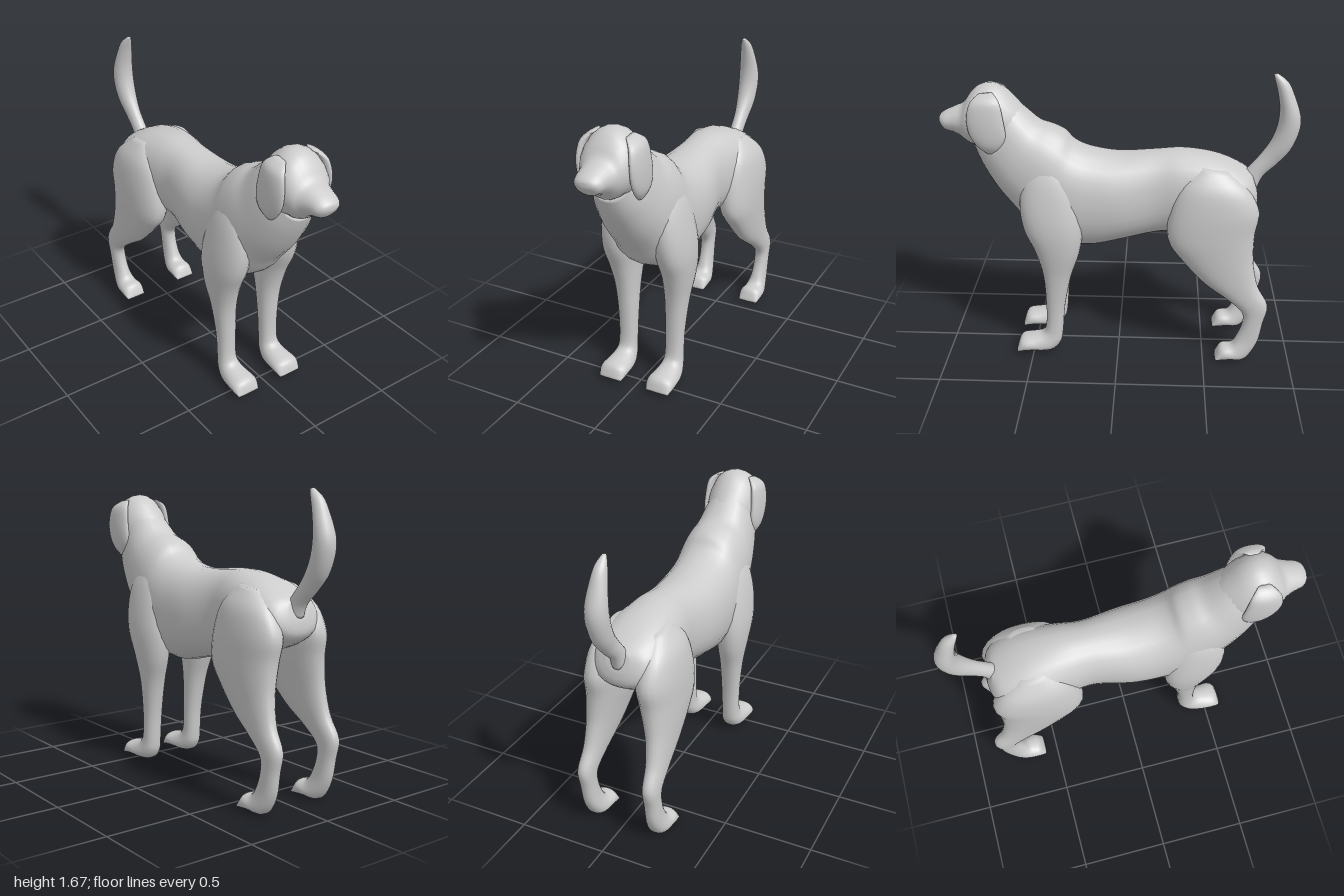
import * as THREE from 'three';

// Skin a smooth tube through sections [zA, yA, zB, yB, halfWidth, xCentre].
// A and B are opposite edge points of the section as seen from the side.
function loft(sections, side = 1, power = 0.9, sides = 24, steps = 4) {
  const rows = [];
  const at = i => sections[Math.max(0, Math.min(sections.length - 1, i))];
  for (let i = 0; i < sections.length - 1; i++) {
    const last = i === sections.length - 2;
    for (let s = 0; s < steps + (last ? 1 : 0); s++) {
      const t = s / steps;
      rows.push([0, 1, 2, 3, 4, 5].map(k => {
        const [a, b, c, d] = [-1, 0, 1, 2].map(o => at(i + o)[k] ?? 0);
        return b + 0.5 * t * (c - a + t * (2 * a - 5 * b + 4 * c - d + t * (3 * (b - c) + d - a)));
      }));
    }
  }
  const pos = [], index = [];
  const soft = v => Math.sign(v) * Math.abs(v) ** power;
  for (const [za, ya, zb, yb, w, x] of rows) {
    for (let j = 0; j < sides; j++) {
      const a = j / sides * Math.PI * 2;
      const c = soft(Math.cos(a)), s = soft(Math.sin(a));
      pos.push(side * (x + w * c), (ya + yb) / 2 + (ya - yb) / 2 * s, (za + zb) / 2 + (za - zb) / 2 * s);
    }
  }
  for (let i = 0; i < rows.length - 1; i++) {
    for (let j = 0; j < sides; j++) {
      const a = i * sides + j, b = i * sides + (j + 1) % sides;
      index.push(a, b, a + sides, b, b + sides, a + sides);
    }
  }
  // close both ends
  [0, rows.length - 1].forEach((r, end) => {
    const [za, ya, zb, yb, , x] = rows[r], centre = pos.length / 3;
    pos.push(side * x, (ya + yb) / 2, (za + zb) / 2);
    for (let j = 0; j < sides; j++) {
      const a = r * sides + j, b = r * sides + (j + 1) % sides;
      if (end) index.push(a, b, centre); else index.push(b, a, centre);
    }
  });
  // turn faces outward, judged by the signed volume
  const p = i => new THREE.Vector3().fromArray(pos, i * 3);
  let volume = 0;
  for (let i = 0; i < index.length; i += 3) {
    volume += p(index[i]).dot(p(index[i + 1]).cross(p(index[i + 2])));
  }
  if (volume < 0) index.reverse();
  const g = new THREE.BufferGeometry();
  g.setAttribute('position', new THREE.Float32BufferAttribute(pos, 3));
  g.setIndex(index);
  g.computeVertexNormals();
  return g;
}

export function createModel() {
  const group = new THREE.Group();
  group.name = 'dog';
  const coat = new THREE.MeshStandardMaterial({ color: 0xcccccc });
  coat.name = 'grey coat';
  const add = (name, sections, side, power) => {
    const mesh = new THREE.Mesh(loft(sections, side, power), coat);
    mesh.name = name;
    group.add(mesh);
  };

  // rump, belly, chest and neck
  add('body', [
    [-0.745, 1.10, -0.78, 1.00, 0.06], [-0.70, 1.13, -0.775, 0.91, 0.15],
    [-0.61, 1.175, -0.66, 0.84, 0.20], [-0.50, 1.21, -0.50, 0.79, 0.205],
    [-0.35, 1.23, -0.33, 0.75, 0.185], [-0.20, 1.22, -0.20, 0.73, 0.17],
    [0, 1.205, 0, 0.685, 0.205], [0.16, 1.23, 0.16, 0.65, 0.212],
    [0.25, 1.27, 0.33, 0.665, 0.215], [0.30, 1.325, 0.49, 0.745, 0.21],
    [0.37, 1.36, 0.58, 0.86, 0.20], [0.44, 1.385, 0.69, 1.00, 0.18],
    [0.52, 1.455, 0.77, 1.14, 0.155], [0.60, 1.53, 0.81, 1.24, 0.12],
  ]);

  // skull tapering to the muzzle
  add('head', [
    [0.50, 1.43, 0.62, 1.20, 0.11], [0.56, 1.50, 0.68, 1.20, 0.14],
    [0.63, 1.57, 0.74, 1.22, 0.15], [0.70, 1.60, 0.79, 1.245, 0.15],
    [0.77, 1.585, 0.82, 1.25, 0.143], [0.82, 1.54, 0.85, 1.27, 0.128],
    [0.86, 1.487, 0.88, 1.295, 0.105], [0.91, 1.463, 0.92, 1.315, 0.088],
    [0.96, 1.44, 0.965, 1.33, 0.076], [0.99, 1.42, 0.99, 1.36, 0.052],
    [1.0, 1.405, 1.0, 1.38, 0.02],
  ], 1, 1);

  // upright curved tail
  add('tail', [
    [-0.69, 1.09, -0.78, 1.01, 0.045], [-0.73, 1.135, -0.81, 1.08, 0.04],
    [-0.79, 1.21, -0.88, 1.15, 0.042], [-0.84, 1.29, -0.95, 1.235, 0.054],
    [-0.87, 1.38, -0.99, 1.34, 0.06], [-0.875, 1.47, -0.993, 1.43, 0.058],
    [-0.86, 1.56, -0.955, 1.54, 0.045], [-0.84, 1.63, -0.915, 1.62, 0.03],
    [-0.83, 1.665, -0.855, 1.668, 0.01],
  ], 1, 1);

  for (const [label, side] of [['left', 1], ['right', -1]]) {
    // hanging ear flap
    add(label + 'Ear', [
      [0.76, 1.56, 0.68, 1.57, 0.015, 0.10], [0.80, 1.52, 0.64, 1.53, 0.028, 0.137],
      [0.82, 1.44, 0.62, 1.43, 0.03, 0.15], [0.81, 1.35, 0.61, 1.34, 0.03, 0.15],
      [0.77, 1.28, 0.63, 1.28, 0.025, 0.145], [0.72, 1.235, 0.67, 1.235, 0.01, 0.135],
    ], side, 1);
    // shoulder, foreleg and paw
    add(label + 'FrontLeg', [
      [0.44, 1.22, 0.34, 1.22, 0.03, 0.13], [0.52, 1.10, 0.27, 1.10, 0.07, 0.145],
      [0.55, 0.95, 0.22, 0.95, 0.09, 0.157], [0.53, 0.80, 0.20, 0.80, 0.095, 0.165],
      [0.47, 0.66, 0.22, 0.65, 0.083, 0.165], [0.43, 0.50, 0.27, 0.50, 0.066, 0.157],
      [0.42, 0.30, 0.31, 0.30, 0.055, 0.15], [0.425, 0.17, 0.325, 0.13, 0.053, 0.15],
      [0.45, 0.122, 0.34, 0.06, 0.06, 0.15], [0.51, 0.105, 0.39, 0.01, 0.073, 0.15],
      [0.575, 0.085, 0.50, 0.01, 0.083, 0.15], [0.60, 0.02, 0.585, 0.01, 0.07, 0.15],
    ], side);
    // thigh, hock and paw
    add(label + 'HindLeg', [
      [-0.46, 1.17, -0.60, 1.15, 0.04, 0.12], [-0.35, 1.07, -0.72, 1.05, 0.085, 0.145],
      [-0.29, 0.92, -0.785, 0.92, 0.105, 0.152], [-0.28, 0.75, -0.77, 0.80, 0.10, 0.16],
      [-0.36, 0.63, -0.765, 0.70, 0.085, 0.17], [-0.49, 0.49, -0.77, 0.60, 0.067, 0.18],
      [-0.62, 0.395, -0.80, 0.47, 0.052, 0.19], [-0.715, 0.31, -0.86, 0.355, 0.045, 0.197],
      [-0.722, 0.23, -0.84, 0.24, 0.043, 0.197], [-0.69, 0.14, -0.815, 0.11, 0.047, 0.195],
      [-0.66, 0.095, -0.75, 0.005, 0.062, 0.193], [-0.60, 0.078, -0.67, 0.0, 0.072, 0.192],
      [-0.57, 0.015, -0.58, 0.0, 0.062, 0.192],
    ], side);
  }
  return group;
}
